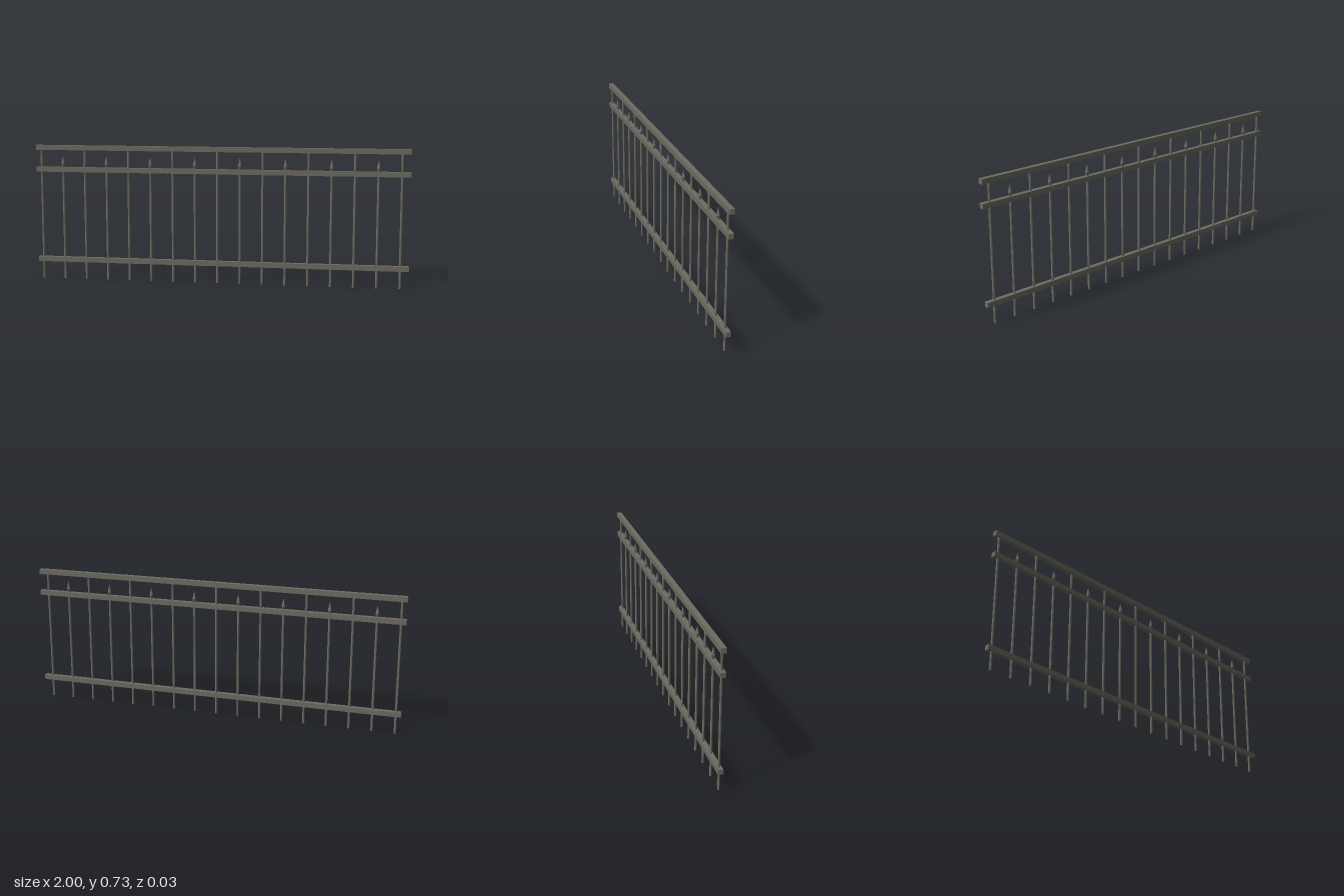
import * as THREE from 'three';

export function createModel() {
  const fence = new THREE.Group();
  fence.name = 'fence';
  const iron = new THREE.MeshStandardMaterial({ color: 0x6b6b62 });
  iron.name = 'weathered iron';
  iron.flatShading = true;

  const add = (name, geometry, x, y) => {
    const mesh = new THREE.Mesh(geometry, iron);
    mesh.name = name;
    mesh.position.set(x, y, 0);
    fence.add(mesh);
  };

  // Three square rails across the full width
  const railGeo = new THREE.BoxGeometry(2, 0.026, 0.026);
  add('bottomRail', railGeo, 0, 0.107);
  add('middleRail', railGeo, 0, 0.6);
  add('topRail', railGeo, 0, 0.718);

  // Round bars: tall ones reach the top rail, short ones end in a spearhead
  const bar = (height) => new THREE.CylinderGeometry(0.0065, 0.0065, height, 8).translate(0, height / 2, 0);
  const tallGeo = bar(0.71);
  const shortGeo = bar(0.63);
  const spearGeo = new THREE.LatheGeometry([
    new THREE.Vector2(0, 0.617),
    new THREE.Vector2(0.0065, 0.617),
    new THREE.Vector2(0.0105, 0.632),
    new THREE.Vector2(0, 0.675),
  ], 8);

  const count = 17, first = -0.973, spacing = 0.1205;
  for (let i = 0; i < count; i++) {
    const x = first + i * spacing;
    if (i % 2 === 0) {
      add('tallBar', tallGeo, x, 0);
    } else {
      add('shortBar', shortGeo, x, 0);
      add('spearhead', spearGeo, x, 0);
    }
  }
  return fence;
}
